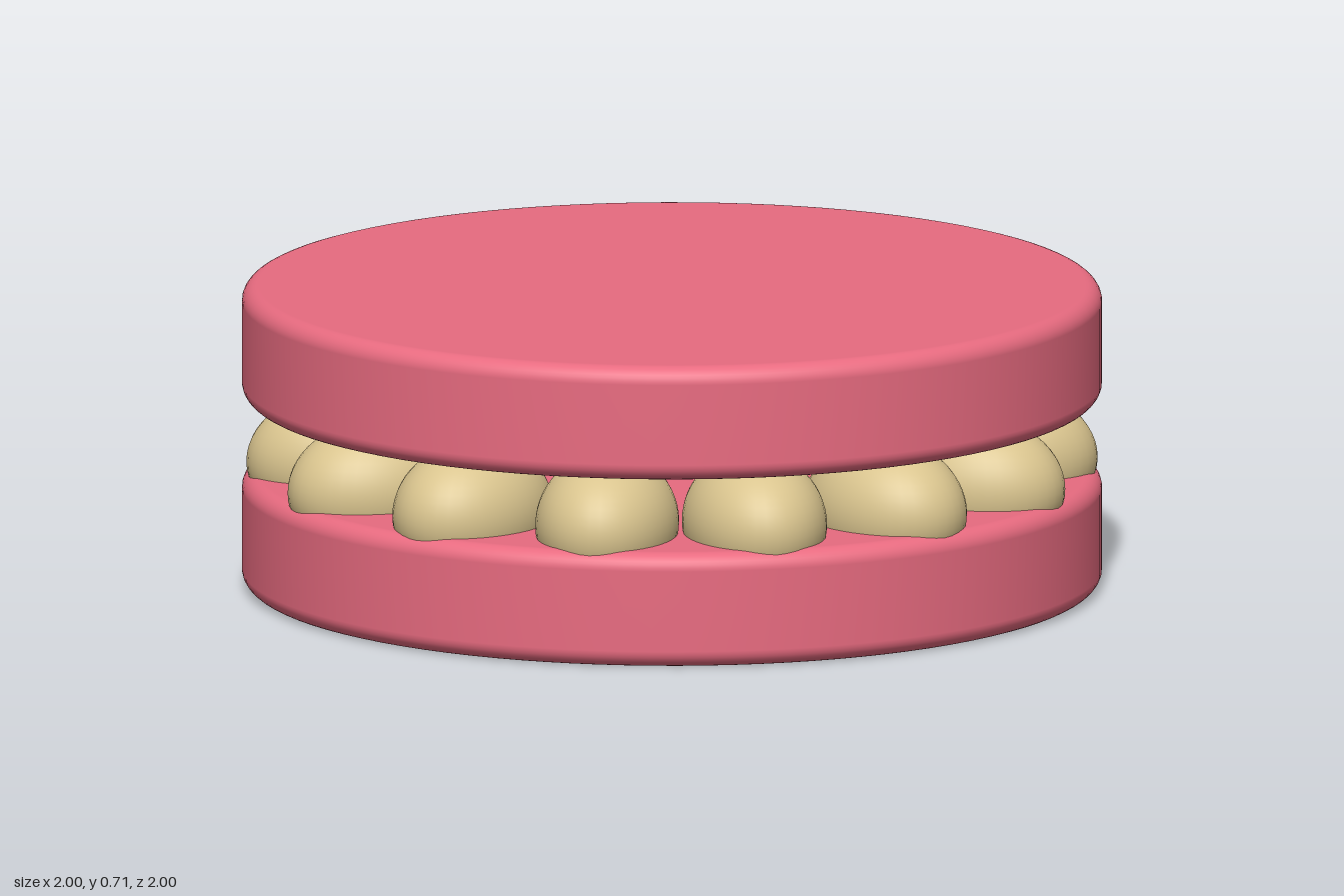
import * as THREE from 'three';

const pink = new THREE.MeshStandardMaterial({ color: 0xe86b80 });
const cream = new THREE.MeshStandardMaterial({ color: 0xd9c48e });

// Round biscuit with softly rounded rims
function biscuit(name, y, height) {
  const r = 0.04, profile = [new THREE.Vector2(0, 0), new THREE.Vector2(0.5, 0)];
  const corner = (cy, start) => {
    for (let i = 0; i <= 8; i++) {
      const a = start + (i / 8) * Math.PI / 2;
      profile.push(new THREE.Vector2(1 - r + r * Math.cos(a), cy + r * Math.sin(a)));
    }
  };
  corner(r, -Math.PI / 2);
  corner(height - r, 0);
  profile.push(new THREE.Vector2(0.5, height), new THREE.Vector2(0, height));
  const mesh = new THREE.Mesh(new THREE.LatheGeometry(profile, 96), pink);
  mesh.name = name;
  mesh.position.y = y;
  return mesh;
}

export function createModel() {
  const model = new THREE.Group();
  model.name = 'sandwichBiscuit';
  model.add(biscuit('lowerBiscuit', 0.003, 0.27), biscuit('upperBiscuit', 0.445, 0.27));

  // Ring of cream dollops, each stretched along its radius
  const filling = new THREE.Group();
  filling.name = 'filling';
  const dollop = new THREE.SphereGeometry(1, 40, 28);
  const count = 14, ring = 0.77;
  for (let i = 0; i < count; i++) {
    const a = (i / count) * Math.PI * 2;
    const mesh = new THREE.Mesh(dollop, cream);
    mesh.name = 'creamDollop';
    mesh.scale.set(0.22, 0.165, 0.165);
    mesh.position.set(ring * Math.cos(a), 0.3, ring * Math.sin(a));
    mesh.rotation.y = -a;
    filling.add(mesh);
  }
  model.add(filling);
  return model;
}
